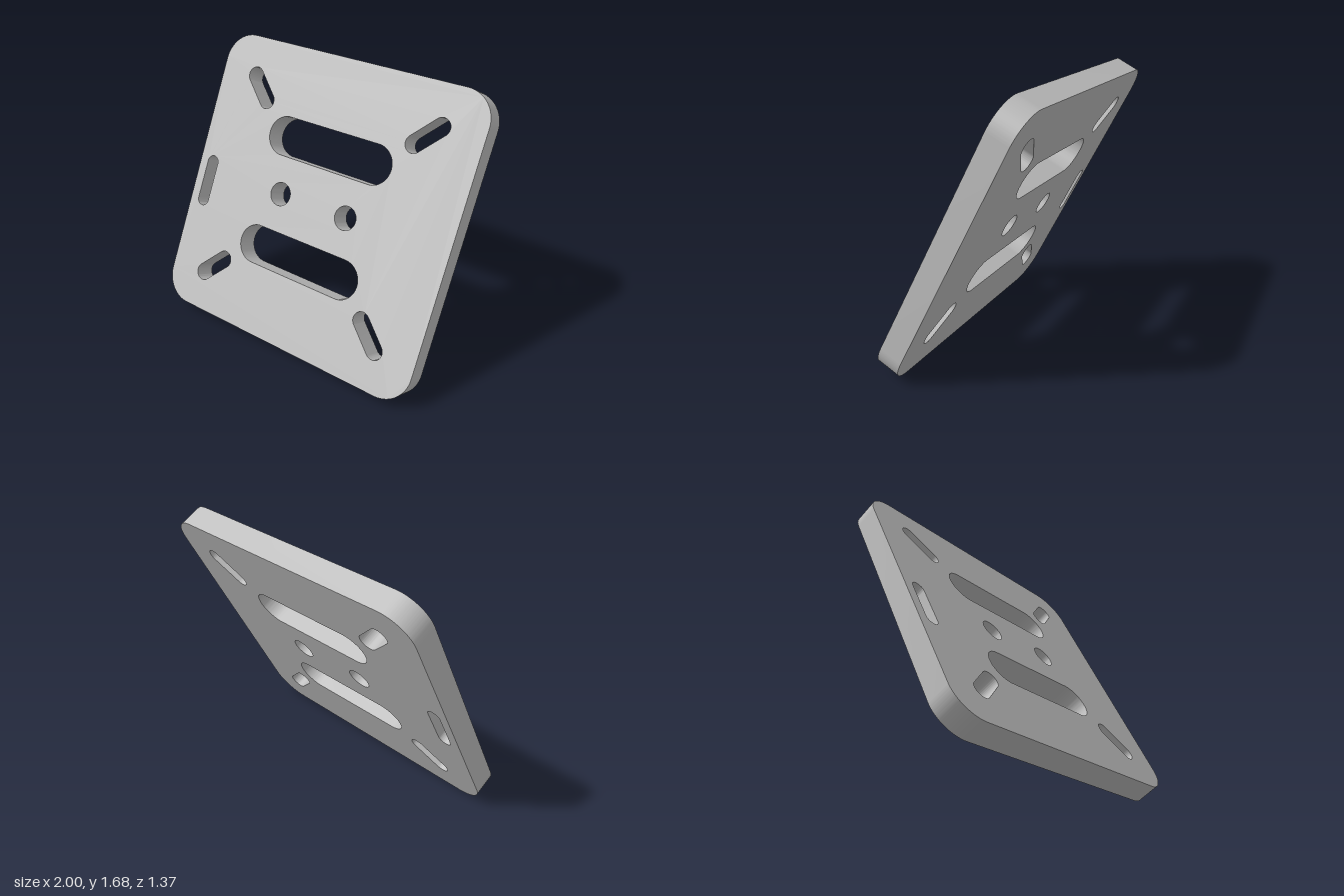
import * as THREE from 'three';
import { toCreasedNormals } from 'three/addons/utils/BufferGeometryUtils.js';

const HALF_W = 0.925, HALF_H = 0.9065, CORNER = 0.185, THICK = 0.145;

// Rounded slot centred on (x, y): half length between end centres, radius, direction
function slot(x, y, half, r, angle = 0) {
  const p = new THREE.Path();
  const dx = half * Math.cos(angle), dy = half * Math.sin(angle);
  p.absarc(x + dx, y + dy, r, angle - Math.PI / 2, angle + Math.PI / 2, false);
  p.absarc(x - dx, y - dy, r, angle + Math.PI / 2, angle + Math.PI * 1.5, false);
  p.closePath();
  return p;
}

function plateShape() {
  // Outline with rounded corners
  const s = new THREE.Shape();
  const cx = HALF_W - CORNER, cy = HALF_H - CORNER;
  [[cx, cy], [-cx, cy], [-cx, -cy], [cx, -cy]].forEach(([x, y], i) =>
    s.absarc(x, y, CORNER, i * Math.PI / 2, (i + 1) * Math.PI / 2, false));
  s.closePath();

  for (const m of [1, -1]) {
    // Wide slots above and below the middle
    s.holes.push(slot(0, 0.353 * m, 0.32, 0.121));
    // Round holes
    const hole = new THREE.Path();
    hole.absarc(0.242 * m, 0, 0.073, 0, Math.PI * 2, false);
    s.holes.push(hole);
    // Diagonal corner slots
    for (const k of [1, -1])
      s.holes.push(slot(0.595 * m, 0.597 * k, 0.093, 0.054, m * k * Math.PI / 4));
  }
  // Narrow slot near one side edge
  s.holes.push(slot(-0.822, -0.083, 0.126, 0.042, Math.PI / 2));
  return s;
}

export function createModel() {
  const group = new THREE.Group();
  const grey = new THREE.MeshStandardMaterial({ color: 0xbfbfbf });
  grey.name = 'plain grey';

  const geo = new THREE.ExtrudeGeometry(plateShape(), {
    depth: THICK, bevelEnabled: false, curveSegments: 24,
  });
  geo.translate(0, 0, -THICK / 2);

  const plate = new THREE.Mesh(toCreasedNormals(geo, 0.6), grey);
  plate.name = 'mountingPlate';
  // Leaning back and turned a little to one side
  plate.rotation.set(THREE.MathUtils.degToRad(-27.5), THREE.MathUtils.degToRad(-16), 0, 'YXZ');
  plate.position.y = 0.8375;
  group.add(plate);
  return group;
}
